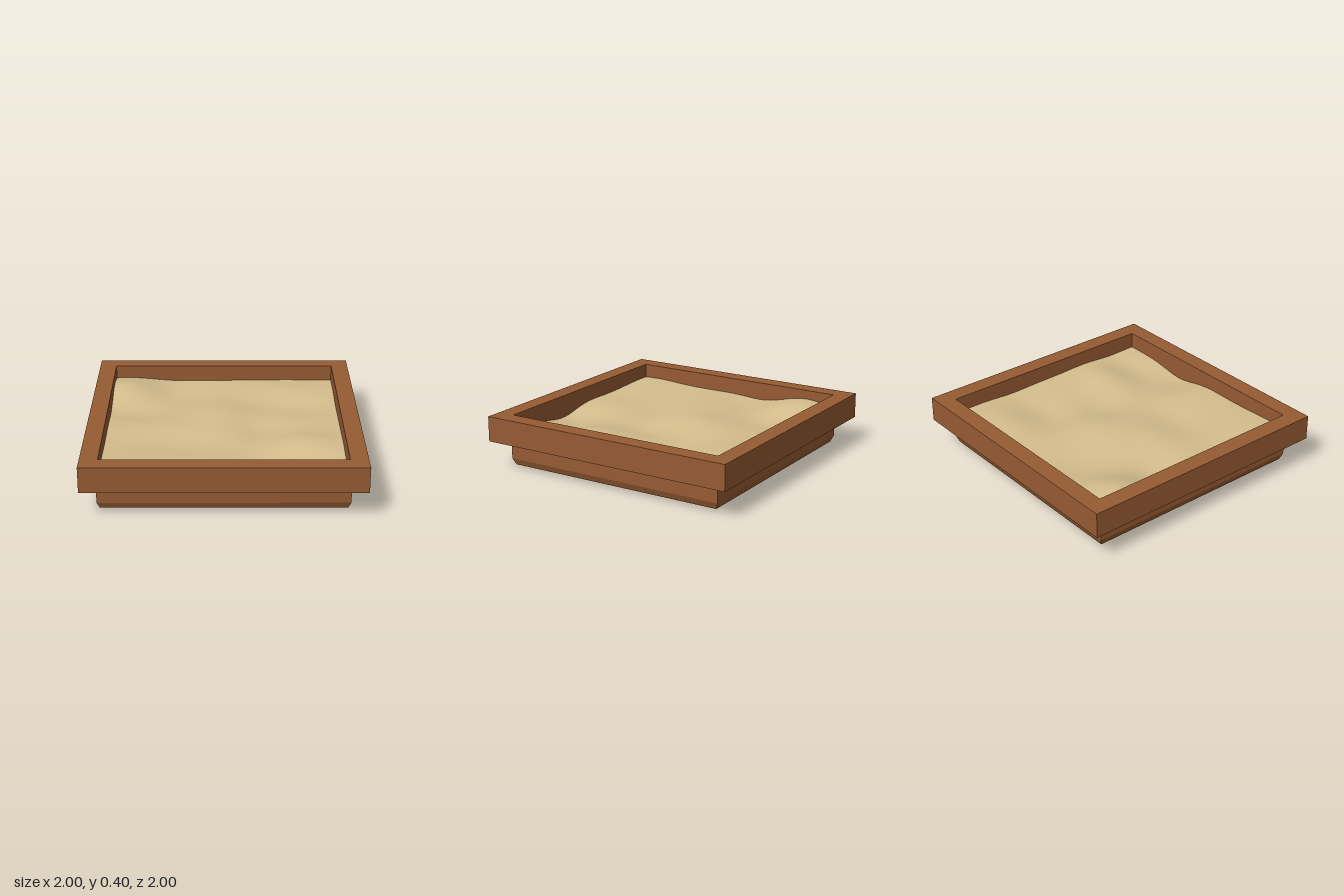
import * as THREE from 'three';

const wood = new THREE.MeshStandardMaterial({ color: 0x965b33 });
wood.name = 'brown wood';
const sandColor = new THREE.MeshStandardMaterial({ color: 0xd4bd8d });
sandColor.name = 'pale sand';

// Soft mounds and hollows: x, z, radius x, radius z, height
const DUNES = [
  [-0.76, -0.64, 0.28, 0.24, 0.065],
  [-0.38, -0.56, 0.26, 0.24, -0.03],
  [-0.7, -0.26, 0.26, 0.18, -0.025],
  [-0.02, -0.2, 0.24, 0.24, 0.03],
  [-0.36, 0.06, 0.34, 0.18, 0.015],
  [0.28, 0.06, 0.2, 0.22, -0.03],
  [-0.2, 0.36, 0.34, 0.2, -0.02],
  [0.5, -0.66, 0.34, 0.18, 0.02],
  [0.52, -0.34, 0.34, 0.18, -0.025],
  [0.62, 0.34, 0.24, 0.18, 0.03],
  [0.62, 0.64, 0.22, 0.15, -0.02],
  [0.28, 0.8, 0.22, 0.34, -0.05],
  [-0.06, 0.72, 0.2, 0.28, 0.01],
  [-0.8, 0.75, 0.3, 0.25, 0.02],
];

function sandHeight(x, z) {
  let y = 0.276;
  for (const [cx, cz, rx, rz, h] of DUNES) {
    y += h * Math.exp(-(((x - cx) / rx) ** 2) - ((z - cz) / rz) ** 2);
  }
  return y;
}

function addMesh(group, name, geometry, material) {
  const mesh = new THREE.Mesh(geometry, material);
  mesh.name = name;
  group.add(mesh);
}

// Tray body whose lower edges turn inward in two flat facets
function makeBase() {
  const arcRows = 2, radius = 0.07, rows = arcRows + 1;
  const geo = new THREE.BoxGeometry(2, 1, 2, 1, rows, 1).toNonIndexed();
  const p = geo.attributes.position;
  for (let i = 0; i < p.count; i++) {
    const row = Math.round((p.getY(i) + 0.5) * rows);
    const a = (Math.min(row, arcRows) / arcRows) * Math.PI / 2;
    const inset = radius * (1 - Math.sin(a));
    const y = row === rows ? 0.212 : radius * (1 - Math.cos(a));
    p.setXYZ(i, Math.sign(p.getX(i)) * (0.89 - inset), y, Math.sign(p.getZ(i)) * (0.88 - inset));
  }
  geo.computeVertexNormals();
  return geo;
}

// Square border with a square opening
function makeRim() {
  const square = (Type, r) => new Type([[-r, -r], [r, -r], [r, r], [-r, r]].map(([x, y]) => new THREE.Vector2(x, y)));
  const shape = square(THREE.Shape, 1);
  shape.holes.push(square(THREE.Path, 0.87));
  const geo = new THREE.ExtrudeGeometry(shape, { depth: 0.19, bevelEnabled: false });
  return geo.rotateX(-Math.PI / 2).translate(0, 0.21, 0);
}

// Rippled sand surface
function makeSand() {
  const geo = new THREE.PlaneGeometry(1.74, 1.74, 64, 64).rotateX(-Math.PI / 2);
  const p = geo.attributes.position;
  for (let i = 0; i < p.count; i++) p.setY(i, sandHeight(p.getX(i), p.getZ(i)));
  geo.computeVertexNormals();
  return geo;
}

export function createModel() {
  const group = new THREE.Group();
  group.name = 'sandbox';
  addMesh(group, 'base', makeBase(), wood);
  addMesh(group, 'rim', makeRim(), wood);
  addMesh(group, 'sand', makeSand(), sandColor);
  return group;
}
